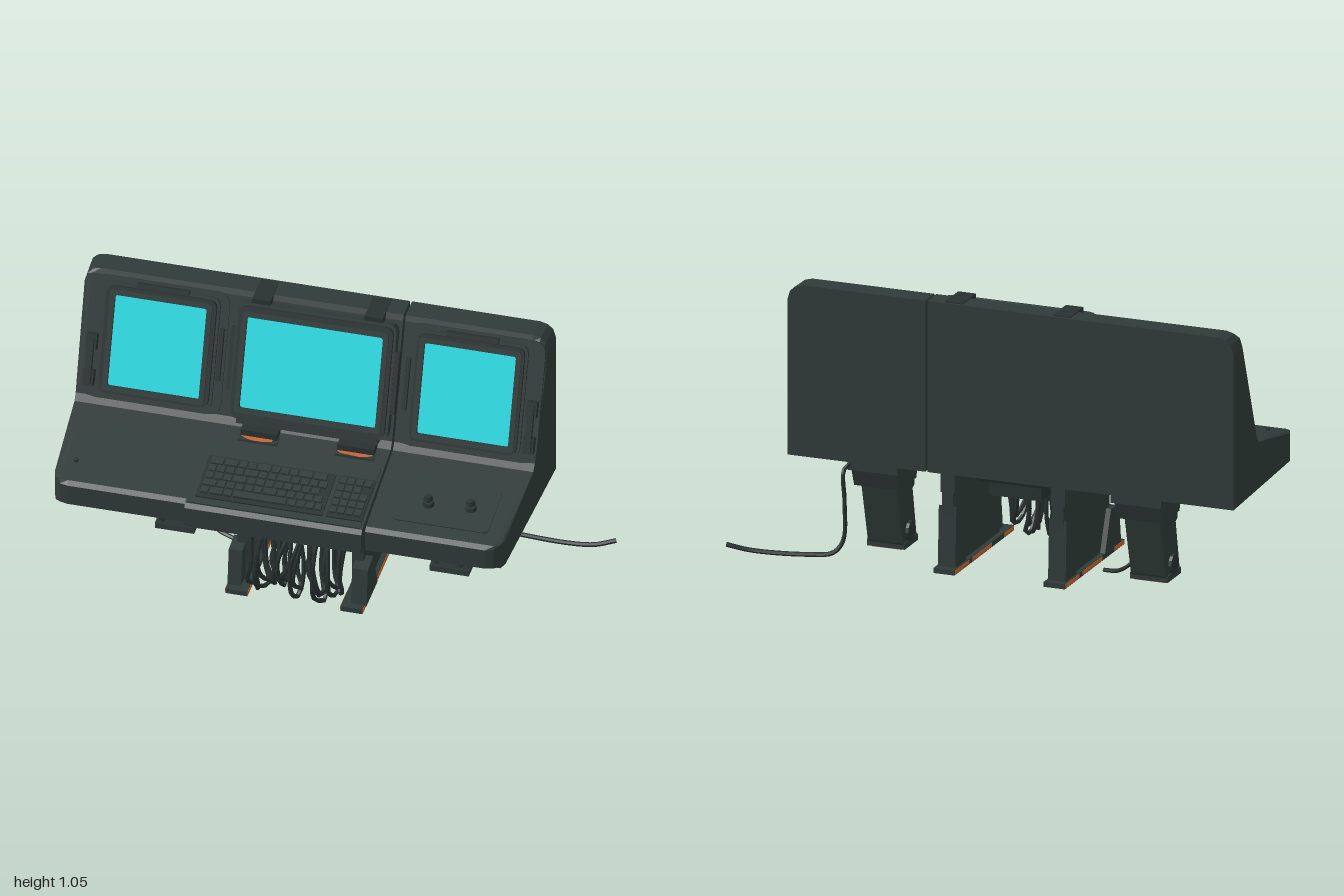
import * as THREE from 'three';

const mat = (name, color, side = THREE.FrontSide) => {
  const m = new THREE.MeshStandardMaterial({ color, side });
  m.name = name;
  return m;
};

export function createModel() {
  const root = new THREE.Group();
  root.name = 'controlConsole';
  const body = mat('gunmetal', 0x2f3a38);
  const dark = mat('darkTrim', 0x283130);
  const cyan = mat('screenCyan', 0x28dce6);
  const orange = mat('rustOrange', 0xc2622f);
  body.flatShading = dark.flatShading = true;

  let seed = 7;
  const rnd = () => ((seed = (seed * 16807) % 2147483647) / 2147483647);

  const add = (parent, name, geo, m, x = 0, y = 0, z = 0) => {
    const mesh = new THREE.Mesh(geo, m);
    mesh.name = name;
    mesh.position.set(x, y, z);
    parent.add(mesh);
    return mesh;
  };
  const box = (parent, name, m, x0, x1, y0, y1, z0, z1) =>
    add(parent, name, new THREE.BoxGeometry(x1 - x0, y1 - y0, z1 - z0), m,
      (x0 + x1) / 2, (y0 + y1) / 2, (z0 + z1) / 2);
  const group = (name, x, y, z, tilt) => {
    const g = new THREE.Group();
    g.name = name;
    g.position.set(x, y, z);
    g.rotation.x = tilt;
    root.add(g);
    return g;
  };

  // Extrudes a (z, y) profile across the x stations; rule may reshape each station
  const loft = (profile, xs, rule) => {
    const shape = new THREE.Shape(profile.map(([z, y]) => new THREE.Vector2(-z, y)));
    const n = xs.length - 1;
    const g = new THREE.ExtrudeGeometry(shape, { depth: 1, steps: n, bevelEnabled: false });
    g.rotateY(Math.PI / 2);
    const p = g.attributes.position;
    for (let i = 0; i < p.count; i++) {
      const v = new THREE.Vector3(xs[Math.round(p.getX(i) * n)], p.getY(i), p.getZ(i));
      if (rule) rule(v);
      p.setXYZ(i, v.x, v.y, v.z);
    }
    g.computeVertexNormals();
    return g;
  };

  const roundRect = (w, h, r, C = THREE.Shape) => {
    const s = new C();
    const a = w / 2, b = h / 2;
    s.moveTo(-a + r, -b).lineTo(a - r, -b).quadraticCurveTo(a, -b, a, -b + r);
    s.lineTo(a, b - r).quadraticCurveTo(a, b, a - r, b);
    s.lineTo(-a + r, b).quadraticCurveTo(-a, b, -a, b - r);
    s.lineTo(-a, -b + r).quadraticCurveTo(-a, -b, -a + r, -b);
    return s;
  };
  const plate = (w, h, r, depth, hole) => {
    const s = roundRect(w, h, r);
    if (hole) s.holes.push(roundRect(hole[0], hole[1], 0.01, THREE.Path));
    return new THREE.ExtrudeGeometry(s, { depth, bevelEnabled: false, curveSegments: 3 });
  };
  // Irregular worn patch
  const patch = (w, h) => {
    const pts = [];
    for (let i = 0; i < 10; i++) {
      const a = (i / 10) * Math.PI * 2, k = 0.42 + rnd() * 0.16;
      pts.push(new THREE.Vector2(Math.cos(a) * w * k, Math.sin(a) * h * k));
    }
    return new THREE.ExtrudeGeometry(new THREE.Shape(pts), { depth: 0.003, bevelEnabled: false });
  };

  // Console housings: slanted panel above a sloping desk
  const profile = (front) => [
    [-0.31, 0.395], [front - 0.03, 0.395], [front, 0.405], [front, 0.488], [front - 0.015, 0.503],
    [0.05, 0.56], [-0.03, 0.575], [-0.05, 0.6], [-0.21, 1.04], [-0.22, 1.06], [-0.31, 1.06]];
  const outer = (edge) => (v) => {
    const d = Math.abs(v.x - edge);
    const k = Math.min(d / 0.06, 1);
    const round = Math.sqrt(1 - (1 - k) * (1 - k));
    v.y = Math.min(v.y, 1.0 + 0.06 * round);
    v.z = Math.min(v.z, 0.315 + 0.06 * round);
    if (d < 0.07) v.x -= Math.sign(edge) * 0.03 * (v.z + 0.31) / 0.65;
  };
  add(root, 'rightHousing', loft(profile(0.375), [-1, -0.99, -0.97, -0.94, -0.455], outer(-1)), body);
  add(root, 'centreHousing', loft(profile(0.4), [-0.455, 0.222]), body);
  add(root, 'leftHousing', loft(profile(0.375), [0.23, 0.72, 0.75, 0.77, 0.78], outer(0.78)), body);

  // Monitors, laid on the slanted panel plane
  const tilt = -Math.atan(0.364);
  const monitor = (name, x, w, h, sw, lift) => {
    const g = group(name, x, 0.82, -0.13, tilt);
    add(g, 'monitorCase', plate(w, h, 0.035, lift), body, 0, 0, -0.005);
    add(g, 'bezel', plate(w - 0.02, h - 0.02, 0.03, 0.015, [sw, 0.352]), dark, 0, 0, lift - 0.005);
    add(g, 'innerRim', plate(sw + 0.04, 0.392, 0.015, 0.008, [sw, 0.352]), body, 0, 0, lift + 0.01);
    add(g, 'screen', new THREE.BoxGeometry(sw, 0.352, 0.008), cyan, 0, 0, lift + 0.001);
    return g;
  };
  const centre = monitor('centreMonitor', -0.093, 0.61, 0.45, 0.52, 0.048);
  const sides = [monitor('rightMonitor', -0.688, 0.44, 0.435, 0.35, 0.026),
    monitor('leftMonitor', 0.495, 0.43, 0.435, 0.35, 0.026)];
  sides.forEach((g, i) => {
    const s = i ? 1 : -1;
    add(g, 'backPlate', plate(0.53, 0.475, 0.05, 0.012), body, s * 0.012, 0, -0.004);
    // Grab handle beside each outer screen
    box(g, 'handleBar', dark, s * 0.25 - 0.012, s * 0.25 + 0.012, -0.18, 0, 0.035, 0.055);
    for (const y of [-0.16, -0.02])
      box(g, 'handleMount', dark, s * 0.25 - 0.02, s * 0.25 + 0.02, y - 0.03, y + 0.03, 0, 0.04);
    box(g, 'topLatch', dark, -0.1, 0.1, 0.21, 0.228, 0.005, 0.03);
    box(g, 'sideLatch', dark, -s * 0.235 - 0.008, -s * 0.235 + 0.008, -0.1, 0.1, 0.005, 0.025);
  });
  for (const s of [-1, 1]) box(centre, 'sideGrip', dark, s * 0.31 - 0.012, s * 0.31 + 0.012, -0.12, 0.12, 0.01, 0.04);
  box(centre, 'lowerLip', dark, -0.27, 0.27, -0.24, -0.22, 0, 0.05);

  // Clips over the top edge
  for (const x of [-0.31, 0.12]) {
    box(root, 'topClip', dark, x - 0.035, x + 0.035, 1.035, 1.064, -0.3, -0.17);
    box(root, 'topClipTongue', dark, x - 0.02, x + 0.02, 1.0, 1.04, -0.2, -0.165);
  }
  // Monitor brackets with worn edges
  for (const x of [-0.27, 0.1]) {
    box(root, 'monitorBracket', dark, x - 0.07, x + 0.07, 0.55, 0.6, -0.05, 0.02);
    const p = add(root, 'bracketWear', patch(0.13, 0.035), orange, x, 0.5725, 0.02);
    p.rotation.x = -Math.PI / 2 + 0.17;
    box(root, 'bracketStep', body, x - 0.075, x + 0.075, 0.55, 0.572, -0.01, 0.04);
  }

  // Desk fittings: local y is the desk normal
  const desk = group('deskFittings', 0, 0.5255, 0.25, 0.171);
  box(desk, 'keyboardTray', body, -0.445, 0.212, -0.01, 0.006, -0.18, 0.135);
  box(desk, 'keyboard', dark, -0.425, 0.06, 0, 0.012, -0.11, 0.105);
  box(desk, 'numberPad', dark, 0.075, 0.21, 0, 0.012, -0.11, 0.105);
  for (let r = 0; r < 5; r++) {
    const z = -0.095 + r * 0.038;
    for (let x = -0.41; x < 0.03;) {
      const w = r === 4 && x > -0.3 && x < -0.2 ? 0.2 : 0.027 + (rnd() > 0.8 ? 0.02 : 0);
      box(desk, 'key', body, x, Math.min(x + w, 0.05), 0.01, 0.022, z, z + 0.03);
      x += w + 0.008;
    }
    for (let c = 0; c < 4; c++)
      if (rnd() > 0.1) box(desk, 'padKey', body, 0.082 + c * 0.032, 0.107 + c * 0.032, 0.01, 0.022, z, z + 0.03);
  }
  const coverGeo = plate(0.37, 0.23, 0.02, 0.004);
  add(desk, 'controlCover', coverGeo, body, 0.497, 0, -0.055).rotation.x = -Math.PI / 2;
  for (const [x, z] of [[0.43, -0.04], [0.59, -0.05]]) {
    add(desk, 'stickBase', new THREE.CylinderGeometry(0.018, 0.024, 0.016, 10), dark, x, 0.01, z);
    add(desk, 'stick', new THREE.CylinderGeometry(0.008, 0.008, 0.03, 8), dark, x, 0.025, z);
    add(desk, 'stickKnob', new THREE.CylinderGeometry(0.012, 0.019, 0.016, 8), dark, x, 0.04, z);
  }
  add(desk, 'deskButton', new THREE.CylinderGeometry(0.01, 0.01, 0.008, 8), dark, -0.905, 0.004, 0.01);
  add(root, 'undersideWear', patch(0.2, 0.15), orange, 0.6, 0.395, 0.25).rotation.x = Math.PI / 2;

  // Outer swing legs
  for (const x of [-0.61, 0.44]) {
    const span = (a) => [x - a, x + a];
    add(root, 'legBracket', loft([[-0.09, 0.37], [-0.1, 0.295], [-0.27, 0.295], [-0.3, 0.37]], span(0.09)), body);
    box(root, 'legMount', body, x - 0.1, x + 0.1, 0.365, 0.4, -0.31, -0.08);
    add(root, 'legStrut', loft([[-0.1, 0.3], [-0.05, 0.05], [-0.06, 0.038], [-0.17, 0.038],
      [-0.185, 0.06], [-0.25, 0.3]], span(0.07)), body);
    add(root, 'legKnee', loft([[-0.01, 0.275], [-0.01, 0.235], [-0.05, 0.215], [-0.12, 0.215], [-0.12, 0.285]], span(0.045)), dark);
    box(root, 'legFoot', body, x - 0.075, x + 0.075, 0.035, 0.06, -0.18, -0.05);
    box(root, 'footSole', orange, x - 0.06, x + 0.06, 0.03, 0.036, -0.17, -0.06);
    for (const s of [-1, 1]) {
      add(root, 'pivotDisc', new THREE.CylinderGeometry(0.038, 0.038, 0.02, 12), dark, x + s * 0.072, 0.095, -0.125)
        .rotation.z = Math.PI / 2;
      add(root, 'footBolt', new THREE.CylinderGeometry(0.01, 0.01, 0.012, 8), dark, x + s * 0.045, 0.08, -0.055)
        .rotation.x = Math.PI / 2;
    }
  }
  const wear = (x, y, w, h) => {
    const m = add(root, 'legWear', patch(w, h), orange, x, y, -0.05 - (y - 0.05) * 0.2);
    m.rotation.x = -0.197;
  };
  wear(-0.605, 0.235, 0.09, 0.1);
  wear(-0.59, 0.18, 0.07, 0.07);
  wear(0.46, 0.165, 0.065, 0.045);
  wear(0.41, 0.285, 0.04, 0.02);

  // Central pedestal
  for (const [x, s] of [[-0.295, -1], [0.145, 1]]) {
    add(root, 'pedestalPanel', loft([[0.155, 0.03], [0.155, 0.33], [-0.3, 0.33], [-0.305, 0.03]], [x - 0.022, x + 0.022]), body);
    box(root, 'pedestalBeam', body, x - 0.028, x + 0.028, 0.32, 0.396, -0.3, 0.23);
    add(root, 'pedestalGusset', loft([[0.22, 0.03], [0.2, 0.18], [0.12, 0.19], [0.06, 0.03]],
      s < 0 ? [x - 0.042, x + 0.01] : [x - 0.01, x + 0.05]), body);
    add(root, 'rearGusset', loft([[-0.3, 0.27], [-0.22, 0.12], [-0.2, 0.03], [-0.31, 0.03]], [x - 0.035, x + 0.035]), body);
    box(root, 'basePlate', body, x - 0.042, x + 0.042, 0.014, 0.034, -0.335, 0.25);
    for (const [a, b] of [[0.155, 0.245], [-0.16, 0.03], [-0.33, -0.195]])
      box(root, 'basePlateWear', orange, x - 0.044, x + 0.044, 0.017, 0.032, a, b);
  }
  box(root, 'sideJunction', dark, 0.165, 0.2, 0.22, 0.28, -0.02, 0.06);
  box(root, 'crossBar', body, -0.28, 0.13, 0.3, 0.325, 0.1, 0.15);
  box(root, 'cableBox', dark, -0.1, 0.11, 0.22, 0.32, 0.02, 0.13);
  add(root, 'underTray', loft([[0.2, 0.396], [0.2, 0.36], [-0.18, 0.34], [-0.27, 0.396]], [-0.22, 0.07]), body);

  // Hanging cable loops
  const tube = (name, pts, r, m = dark, n = 24) =>
    add(root, name, new THREE.TubeGeometry(new THREE.CatmullRomCurve3(pts.map((p) => new THREE.Vector3(...p))), n, r, 6), m);
  for (let i = 0; i < 17; i++) {
    const left = i < 10;
    const x = left ? -0.245 + (i % 5) * 0.045 : -0.02 + (i - 10) * 0.017;
    const j = () => (rnd() - 0.5) * 0.05;
    const low = 0.018 + rnd() * 0.07, out = 0.31 - rnd() * 0.06;
    tube('hangingCable', [[x, 0.31, 0.15], [x, 0.365, 0.2], [x + j(), 0.355, out - 0.04], [x + j(), 0.2, out],
      [x + j(), low + 0.03, out - 0.03], [x + j() + 0.01, low, 0.2], [x + j(), 0.12, 0.175], [x + j(), 0.3, 0.165]], 0.009);
  }
  for (let i = 0; i < 5; i++)
    add(root, 'cablePlug', new THREE.CylinderGeometry(0.012, 0.015, 0.07, 8), dark, -0.235 + i * 0.045, 0.335, 0.2);

  // Loose cables
  tube('trailingCable', [[0.53, 0.39, -0.3], [0.545, 0.37, -0.335], [0.54, 0.25, -0.34], [0.545, 0.1, -0.34],
    [0.58, 0.05, -0.35], [0.68, 0.032, -0.355], [0.9, 0.026, -0.37], [0.99, 0.045, -0.394]], 0.009, dark, 40);
  tube('footCable', [[-0.54, 0.1, -0.12], [-0.5, 0.06, -0.12], [-0.45, 0.03, -0.1], [-0.39, 0.02, -0.08]], 0.008);
  tube('sideCable', [[0.16, 0.3, 0.02], [0.2, 0.33, 0.03], [0.25, 0.325, 0.03], [0.25, 0.295, 0.03],
    [0.2, 0.285, 0.03], [0.18, 0.24, 0.03]], 0.006);
  return root;
}
